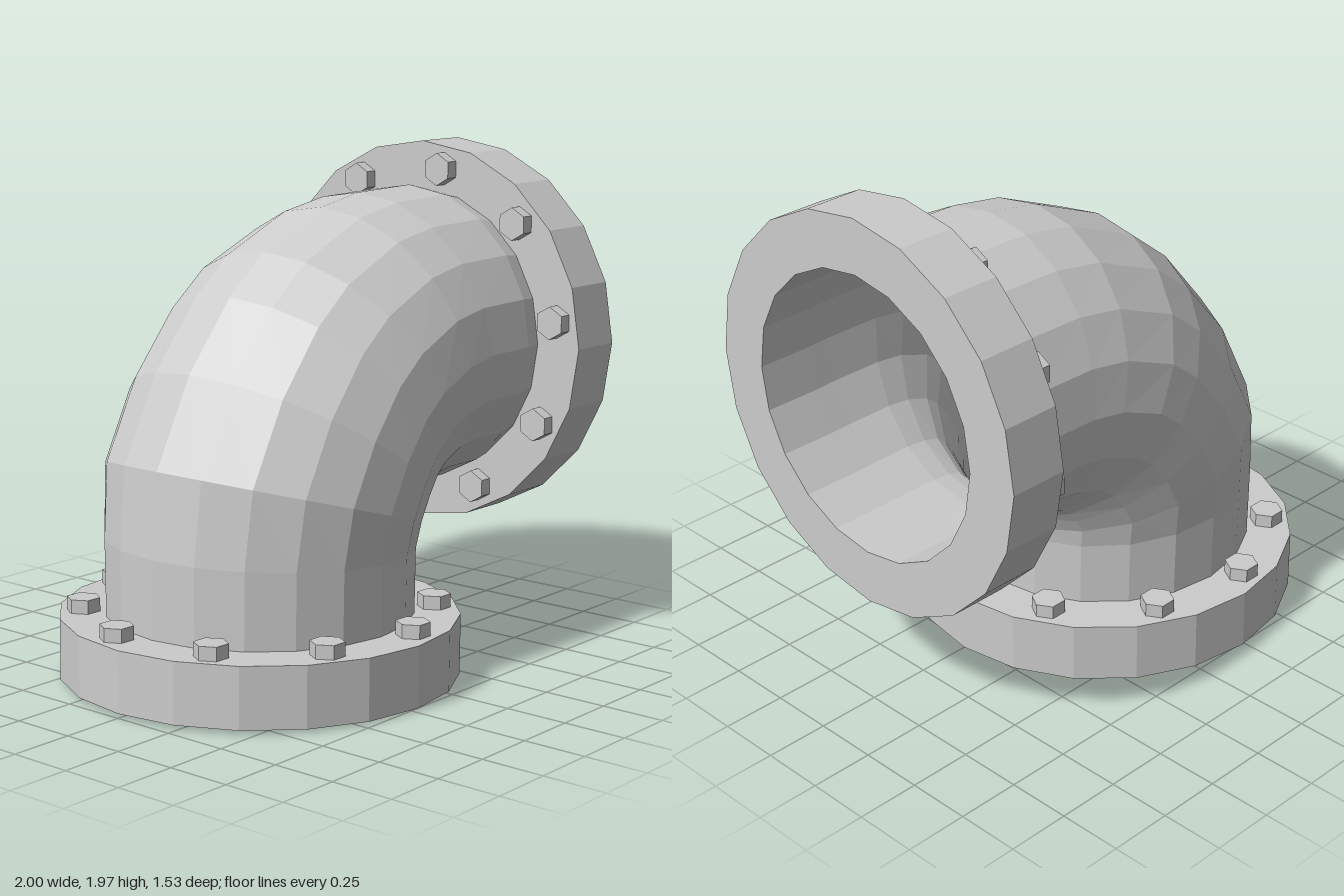
import * as THREE from 'three';

const SIDES = 20, OUTER = 0.765, BORE = 0.555, THICK = 0.235;
const material = new THREE.MeshStandardMaterial({ color: 0xcccccc, flatShading: true });

// Skin over elliptical rings; each ring is [outerX, outerY, innerX, innerY, halfDepth]
function sweep(name, rings, scale, inward) {
  const pos = [], index = [];
  for (const [ox, oy, ix, iy, depth] of rings) {
    const cx = (ox + ix) / 2, cy = (oy + iy) / 2;
    for (let j = 0; j < SIDES; j++) {
      const a = (j / SIDES) * Math.PI * 2, c = Math.cos(a) * scale;
      pos.push(cx + (ox - cx) * c, cy + (oy - cy) * c, Math.sin(a) * depth * scale);
    }
  }
  for (let i = 0; i < rings.length - 1; i++) {
    for (let j = 0; j < SIDES; j++) {
      const k = (j + 1) % SIDES;
      const a = i * SIDES + j, b = i * SIDES + k, c = a + SIDES, d = b + SIDES;
      if (inward) index.push(a, c, b, b, c, d);
      else index.push(a, b, c, b, d, c);
    }
  }
  const geo = new THREE.BufferGeometry();
  geo.setAttribute('position', new THREE.Float32BufferAttribute(pos, 3));
  geo.setIndex(index);
  geo.computeVertexNormals();
  const mesh = new THREE.Mesh(geo, material);
  mesh.name = name;
  return mesh;
}

// Flange ring with its bolt heads; open face at y = 0, bolts on the upper face
function makeFlange(name) {
  const group = new THREE.Group();
  group.name = name;
  const profile = [[BORE, 0], [OUTER + 0.002, 0], [OUTER + 0.002, THICK], [BORE, THICK], [BORE, 0]]
    .map(([r, y]) => new THREE.Vector2(r, y));
  const ring = new THREE.Mesh(new THREE.LatheGeometry(profile, SIDES), material);
  ring.name = 'flangeRing';
  group.add(ring);
  const boltGeo = new THREE.CylinderGeometry(0.065, 0.065, 0.07, 6).rotateY(Math.PI / 6);
  for (let i = 0; i < 10; i++) {
    const a = THREE.MathUtils.degToRad(9.5 + i * 36);
    const bolt = new THREE.Mesh(boltGeo, material);
    bolt.name = 'bolt';
    bolt.position.set(0.67 * Math.cos(a), THICK + 0.018, 0.67 * Math.sin(a));
    group.add(bolt);
  }
  return group;
}

export function createModel() {
  const model = new THREE.Group();
  model.name = 'pipeElbow';

  // Elbow from the bottom flange up and round to the side flange
  const rings = [
    [-0.82, 0.22, 0.36, 0.22, 0.592],
    [-0.82, 0.55, 0.36, 0.48, 0.597],
    [-0.785, 0.87, 0.365, 0.53, 0.62],
    [-0.61, 1.2, 0.38, 0.56, 0.622],
    [-0.39, 1.46, 0.39, 0.58, 0.617],
    [-0.2, 1.61, 0.41, 0.597, 0.615],
    [0.13, 1.75, 0.45, 0.605, 0.603],
    [0.36, 1.79, 0.52, 0.612, 0.595],
    [0.68, 1.797, 0.68, 0.61, 0.593],
  ];
  model.add(sweep('elbowBody', [...rings, [0.78, 1.775, 0.78, 0.63, 0.573]], 1, false));
  model.add(sweep('elbowBore', [...rings, [0.78, 1.79, 0.78, 0.61, 0.59]], 0.94, true));

  // Bottom flange, sitting very slightly tilted
  const bottom = makeFlange('bottomFlange');
  bottom.position.set(-0.232, 0.0085, 0);
  bottom.rotation.z = -0.011;
  model.add(bottom);

  // Side flange, opening towards +x
  const side = makeFlange('sideFlange');
  side.position.set(1, 1.2, 0);
  side.rotation.z = Math.PI / 2;
  model.add(side);

  return model;
}
